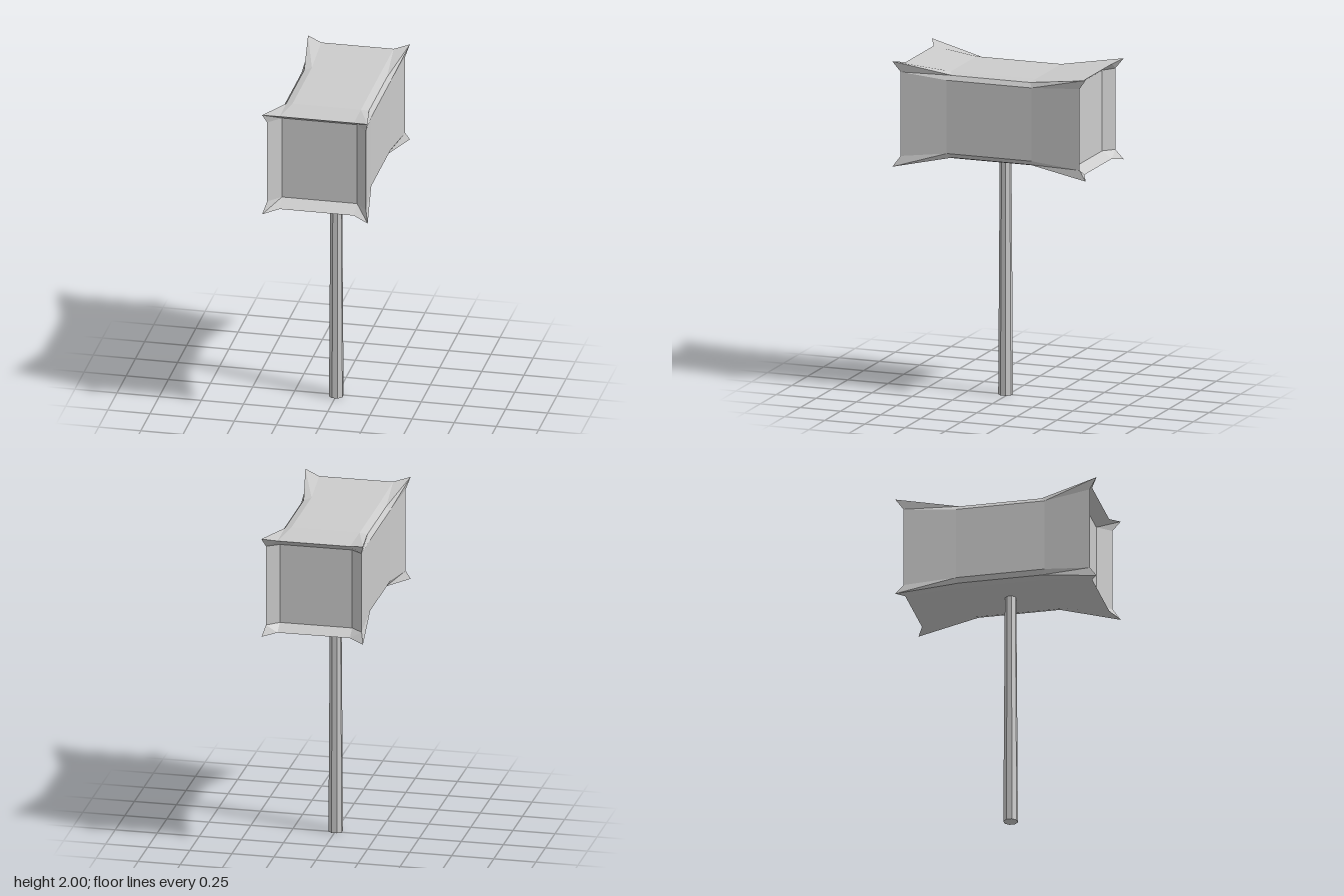
import * as THREE from 'three';

const CENTRE_Y = 1.6865;
const material = new THREE.MeshStandardMaterial({ color: 0xcccccc, flatShading: true });
const quadrants = [[1, 1], [-1, 1], [-1, -1], [1, -1]];

// Twelve-point ring: each corner is a triple of side, corner and top/bottom points,
// counter-clockwise as seen from the front.
function ring({ side, corner, top }) {
  return quadrants.flatMap(([sx, sy]) => {
    const place = ([x, y, z]) => [sx * x, CENTRE_Y + sy * y, z];
    const triple = [side, corner, top].map(place);
    return sx * sy > 0 ? triple : triple.reverse();
  });
}

function createHead() {
  // Cross-sections from front to back: half width, half height, z
  const rings = [
    { side: [0.293, 0.25, 0.555], corner: [0.313, 0.314, 0.6], top: [0.22, 0.293, 0.552] },
    { side: [0.265, 0.218, 0.28], corner: [0.245, 0.245, 0.255], top: [0.203, 0.258, 0.278] },
    { side: [0.265, 0.218, -0.248], corner: [0.245, 0.245, -0.232], top: [0.203, 0.258, -0.25] },
    { side: [0.284, 0.242, -0.555], corner: [0.302, 0.301, -0.6], top: [0.215, 0.282, -0.56] },
  ].map(ring);

  const positions = [];
  const quad = (a, b, c, d) => positions.push(...a, ...b, ...c, ...a, ...c, ...d);

  // Waisted outer skin
  for (let r = 0; r < rings.length - 1; r++) {
    for (let i = 0; i < 12; i++) {
      const j = (i + 1) % 12;
      quad(rings[r][i], rings[r + 1][i], rings[r + 1][j], rings[r][j]);
    }
  }

  // Recessed striking face inside a flared rim
  const cap = (rim, x, y, z, front) => {
    const face = (...p) => quad(...(front ? p : p.reverse()));
    const inner = quadrants.map(([sx, sy]) => [sx * x, CENTRE_Y + sy * y, z]);
    face(...inner);
    for (let q = 0; q < 4; q++) {
      const next = (q + 1) % 4;
      const k = q * 3;
      // Split each corner from its tip to the inner face
      const [a, tip, b] = [rim[k], rim[k + 1], rim[k + 2]];
      face(tip, b, inner[q], a);
      face(b, rim[next * 3], inner[next], inner[q]);
    }
  };
  cap(rings[0], 0.223, 0.25, 0.475, true);
  cap(rings[3], 0.215, 0.24, -0.5, false);

  const geometry = new THREE.BufferGeometry();
  geometry.setAttribute('position', new THREE.Float32BufferAttribute(positions, 3));
  geometry.computeVertexNormals();
  const head = new THREE.Mesh(geometry, material);
  head.name = 'hammerHead';
  return head;
}

// Slightly tapered octagonal shaft
function createHandle() {
  const height = 1.44;
  const geometry = new THREE.CylinderGeometry(0.034, 0.043, height, 8);
  geometry.rotateY(Math.PI / 8);
  const handle = new THREE.Mesh(geometry, material);
  handle.name = 'handle';
  handle.position.set(0, height / 2, 0.017);
  return handle;
}

export function createModel() {
  const model = new THREE.Group();
  model.name = 'hammer';
  model.add(createHead(), createHandle());
  return model;
}
